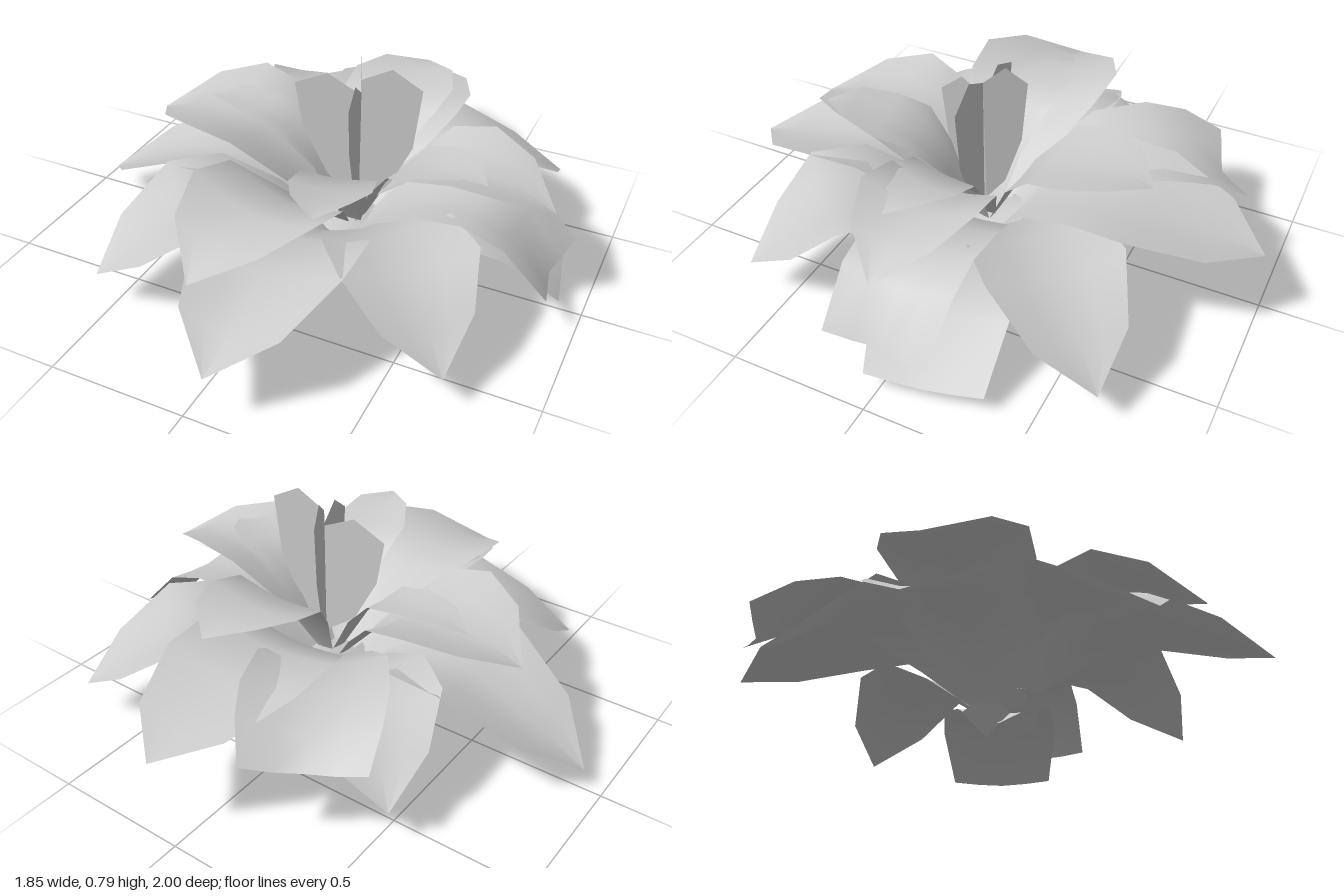
import * as THREE from 'three';

const material = new THREE.MeshStandardMaterial({ color: 0xcccccc, side: THREE.DoubleSide });
const CENTER_X = 0.1;

// A cupped petal swept along a spine of [radius, height, half width] stations.
// Angle 0 points to +x, 90 to the front. A notch dents the middle of a blunt end.
function petal(name, degrees, spine, cup = 0.08, x0 = CENTER_X, notch = 0) {
  const a = THREE.MathUtils.degToRad(degrees);
  const c = Math.cos(a), s = Math.sin(a);
  const across = 4, positions = [], index = [];
  spine.forEach(([r, y, w], i) => {
    const dent = i === spine.length - 1 ? notch : 0;
    for (let j = 0; j <= across; j++) {
      const u = (j / across) * 2 - 1;
      const d = u * w;
      const rr = r - dent * (1 - Math.abs(u));
      const lift = cup * Math.pow(Math.abs(d) / 0.28, 1.5);
      positions.push(x0 + rr * c - d * s, y + lift, rr * s + d * c);
      if (i > 0 && j > 0) {
        const k = i * (across + 1) + j, p = k - across - 1;
        index.push(p - 1, p, k, p - 1, k, k - 1);
      }
    }
  });
  const g = new THREE.BufferGeometry();
  g.setAttribute('position', new THREE.Float32BufferAttribute(positions, 3));
  g.setIndex(index);
  g.computeVertexNormals();
  const mesh = new THREE.Mesh(g, material);
  mesh.name = name;
  return mesh;
}

// Upright half blade standing out from the flower's axis
function blade(name, degrees, reach, top) {
  const shape = new THREE.Shape();
  shape.moveTo(-0.01, 0.22);
  shape.lineTo(reach * 0.5, 0.32);
  shape.lineTo(reach * 0.88, 0.5);
  shape.lineTo(reach, top - 0.06);
  shape.lineTo(reach * 0.5, top);
  shape.lineTo(0, top - 0.06);
  const mesh = new THREE.Mesh(new THREE.ShapeGeometry(shape), material);
  mesh.position.x = 0.15;
  mesh.rotation.y = -THREE.MathUtils.degToRad(degrees);
  mesh.name = name;
  return mesh;
}

export function createModel() {
  const flower = new THREE.Group();
  flower.name = 'flower';

  // Long pointed outer petals; the back one sits higher
  const outer = (length, peak, tipY) => [
    [0, 0.06, 0.03], [0.2, peak - 0.1, 0.17], [0.4, peak, 0.27],
    [0.6, peak - 0.01, 0.27], [length - 0.16, tipY * 0.6 + peak * 0.4, 0.18], [length, tipY, 0],
  ];
  flower.add(
    petal('outerPetalFront', 91, outer(1.0, 0.31, 0.19)),
    petal('outerPetalBack', 269, outer(1.0, 0.39, 0.3), 0.04),
    petal('outerPetalRight', 180, outer(1.03, 0.3, 0.08)),
  );

  // Broad diagonal outer petals with an obtuse tip
  const diagonal = (length) => [
    [0, 0.07, 0.03], [0.2, 0.23, 0.16], [0.4, 0.33, 0.23],
    [0.6, 0.33, 0.24], [length - 0.13, 0.22, 0.16], [length, 0.13, 0],
  ];
  [[134, 0.93], [46, 0.88], [313, 0.93], [223, 0.88]].forEach(([angle, length], i) =>
    flower.add(petal('outerPetalDiagonal' + (i + 1), angle, diagonal(length), 0.06)));

  // Blunt, notched petals
  flower.add(
    petal('bluntPetalUpper', 0.5, [
      [0, 0.08, 0.03], [0.18, 0.25, 0.16], [0.34, 0.34, 0.2],
      [0.5, 0.36, 0.2], [0.65, 0.31, 0.2], [0.81, 0.15, 0.19],
    ], 0.05, CENTER_X, 0.04),
    petal('bluntPetalLower', -11, [
      [0, 0.05, 0.03], [0.2, 0.17, 0.14], [0.4, 0.23, 0.21],
      [0.6, 0.2, 0.23], [0.8, 0.05, 0.2],
    ], 0.03),
    petal('bluntPetalBack', 240, [
      [0, 0.1, 0.03], [0.2, 0.27, 0.15], [0.4, 0.37, 0.22],
      [0.6, 0.38, 0.24], [0.75, 0.35, 0.23], [0.89, 0.28, 0.2],
    ], 0.07, CENTER_X, 0.04),
  );

  // Middle ring
  const middle = (length, peak, tipY, width) => [
    [0.02, 0.14, 0.03], [0.22 * length, peak - 0.16, width * 0.55],
    [0.42 * length, peak - 0.03, width * 0.95], [0.62 * length, peak, width],
    [0.83 * length, (peak + tipY) / 2 + 0.02, width * 0.7], [length, tipY, 0],
  ];
  [
    ['middlePetalRight', 182, 0.78, 0.47, 0.41, 0.27],
    ['middlePetalLeft', 2, 0.77, 0.5, 0.41, 0.21],
    ['middlePetalFront', 103, 0.82, 0.43, 0.34, 0.26],
  ].forEach(([name, angle, ...size]) => flower.add(petal(name, angle, middle(...size), 0.08)));

  // Smaller inner ring around the heart
  [
    ['innerPetalBack', 274, 0.63, 0.53, 0.52, 0.2],
    ['innerPetalFront', 79, 0.59, 0.51, 0.55, 0.14],
    ['innerPetalRight', 186, 0.63, 0.51, 0.49, 0.1],
    ['innerPetalLeft', 12, 0.54, 0.5, 0.5, 0.14],
  ].forEach(([name, angle, ...size]) => flower.add(petal(name, angle, middle(...size), 0.04, 0.13)));

  // Upright blades crossing at the heart
  flower.add(
    blade('bladeLeft', -3, 0.22, 0.79),
    blade('bladeRight', 177, 0.25, 0.73),
    blade('bladeFront', 83, 0.15, 0.74),
    blade('bladeBack', 246, 0.15, 0.79),
  );

  // Drooping leaf and small pointed bud under the base
  flower.add(petal('baseLeaf', 70, [
    [-0.12, 0.2, 0.12], [0, 0.18, 0.17], [0.1, 0.17, 0.19], [0.18, 0.14, 0.19],
  ], -0.11));
  const bud = new THREE.Mesh(new THREE.ConeGeometry(0.09, 0.1, 5, 1, true), material);
  bud.name = 'baseBud';
  bud.position.set(CENTER_X, 0.05, -0.02);
  bud.rotation.x = Math.PI;
  flower.add(bud);
  return flower;
}
